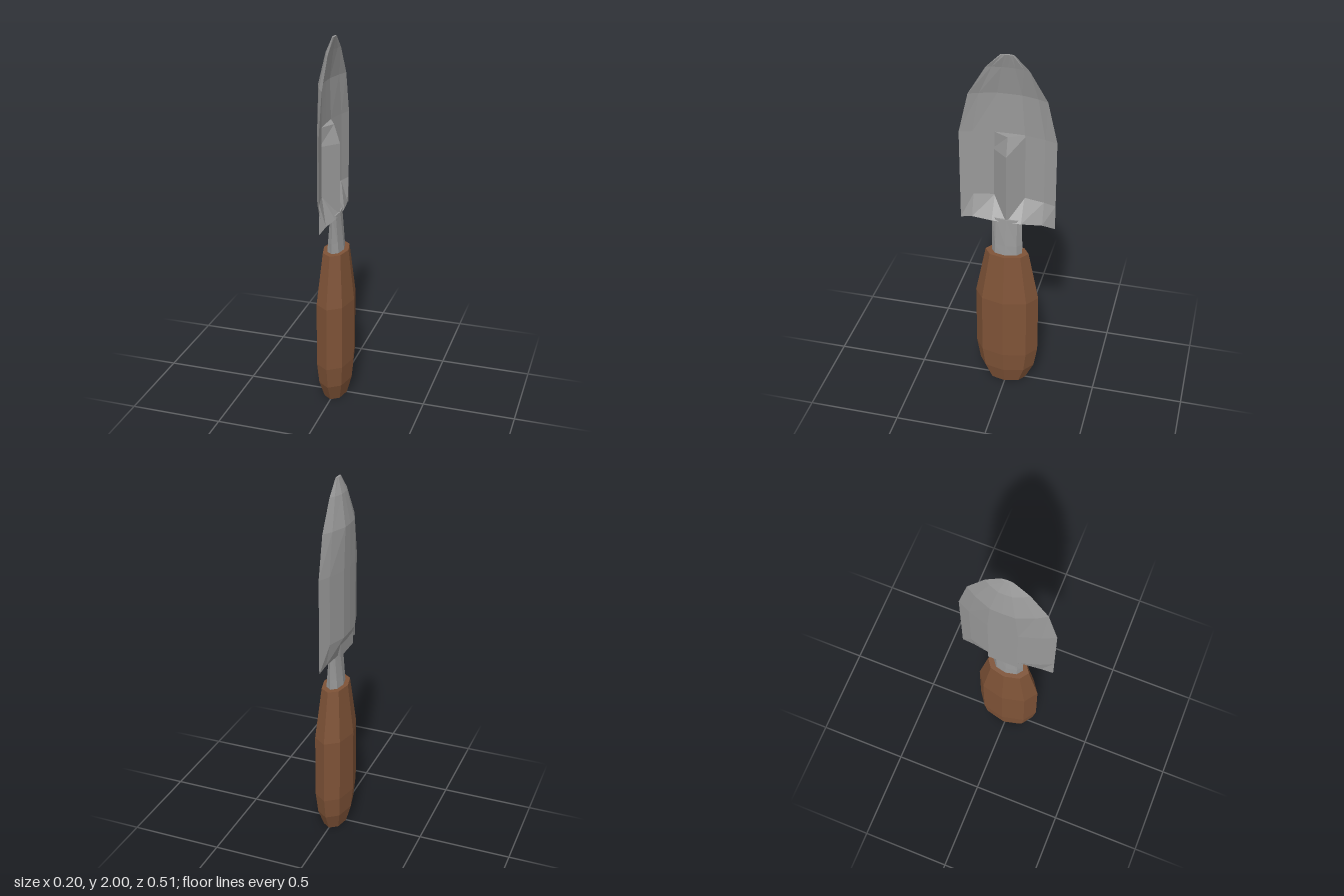
import * as THREE from 'three';

const metal = new THREE.MeshStandardMaterial({ color: 0x999999, flatShading: true });
metal.name = 'grey metal';
const wood = new THREE.MeshStandardMaterial({ color: 0x7f5337, flatShading: true });
wood.name = 'brown wood';

// Joins closed rings (listed top to bottom) into a capped solid.
function loft(rings) {
  const n = rings[0].length, idx = [];
  const quad = (a, b, c, d) => idx.push(a, b, c, a, c, d);
  for (let r = 0; r < rings.length - 1; r++)
    for (let k = 0; k < n; k++) {
      const k2 = (k + 1) % n;
      quad(r * n + k, r * n + k2, (r + 1) * n + k2, (r + 1) * n + k);
    }
  // End caps, zipped from one side of the ring to the other
  const last = (rings.length - 1) * n;
  for (let k = 0; k < Math.floor(n / 2); k++) {
    const c = n - k - 1, d = (n - k) % n;
    quad(last + k, last + k + 1, last + c, last + d);
    quad(d, c, k + 1, k);
  }
  const g = new THREE.BufferGeometry();
  g.setAttribute('position', new THREE.Float32BufferAttribute(rings.flat(2), 3));
  g.setIndex(idx);
  g.computeVertexNormals();
  return g;
}

// Eight-sided turned part; radii are along z, flattened along x.
function turned(profile, flatten) {
  const pts = profile.map(([r, y]) => new THREE.Vector2(r, y));
  return new THREE.LatheGeometry(pts, 8).scale(flatten, 1, 1);
}

export function createModel() {
  const model = new THREE.Group();
  model.name = 'trowel';
  const add = (name, geometry, material) => {
    const mesh = new THREE.Mesh(geometry, material);
    mesh.name = name;
    model.add(mesh);
  };

  // Wooden handle
  add('handle', turned([
    [0, 0], [0.107, 0], [0.155, 0.1], [0.175, 0.22],
    [0.175, 0.58], [0.118, 0.865], [0, 0.865],
  ], 0.575), wood);

  // Metal neck, thinning in x towards the blade
  const neck = turned([[0, 0.84], [0.083, 0.84], [0.083, 0.92], [0.08, 1.075], [0, 1.075]], 0.55);
  const p = neck.attributes.position;
  for (let i = 0; i < p.count; i++)
    if (p.getY(i) > 0.9) p.setX(i, p.getX(i) * (p.getY(i) > 1 ? 0.5 : 0.84));
  add('neck', neck, metal);

  // Scooped blade: y, half width, depth of back and of hollow at the middle
  const rows = [
    [2.0, 0.035, -0.008, 0.004],
    [1.925, 0.11, -0.036, -0.016],
    [1.77, 0.203, -0.067, -0.045],
    [1.55, 0.254, -0.067, -0.045],
    [1.18, 0.254, -0.067, -0.045],
    [1.04, 0.254, -0.022, 0.03],
  ];
  const across = [1, 0.74, 0.31, 0, -0.31, -0.74, -1];
  const bulge = [0, 0.47, 0.97, 1, 0.97, 0.47, 0];
  add('blade', loft(rows.map(([y, w, back, hollow], r) => {
    const point = (i, depth) => [
      -0.01 + bulge[i] * depth,
      y + (r === rows.length - 1 && bulge[i] > 0 ? 0.02 : 0),
      across[i] * w,
    ];
    return [
      ...across.map((_, i) => point(i, back)),
      ...[5, 4, 3, 2, 1].map((i) => point(i, hollow)),
    ];
  })), metal);

  // Ridged shank lying in the hollow of the blade
  add('shank', loft([[1.55, -0.012], [1.45, 0.02], [1.07, 0.02]].map(([y, ridge]) => [
    [-0.06, y, 0.09], [-0.06, y, -0.09], [ridge, y, 0],
  ])), metal);

  return model;
}
